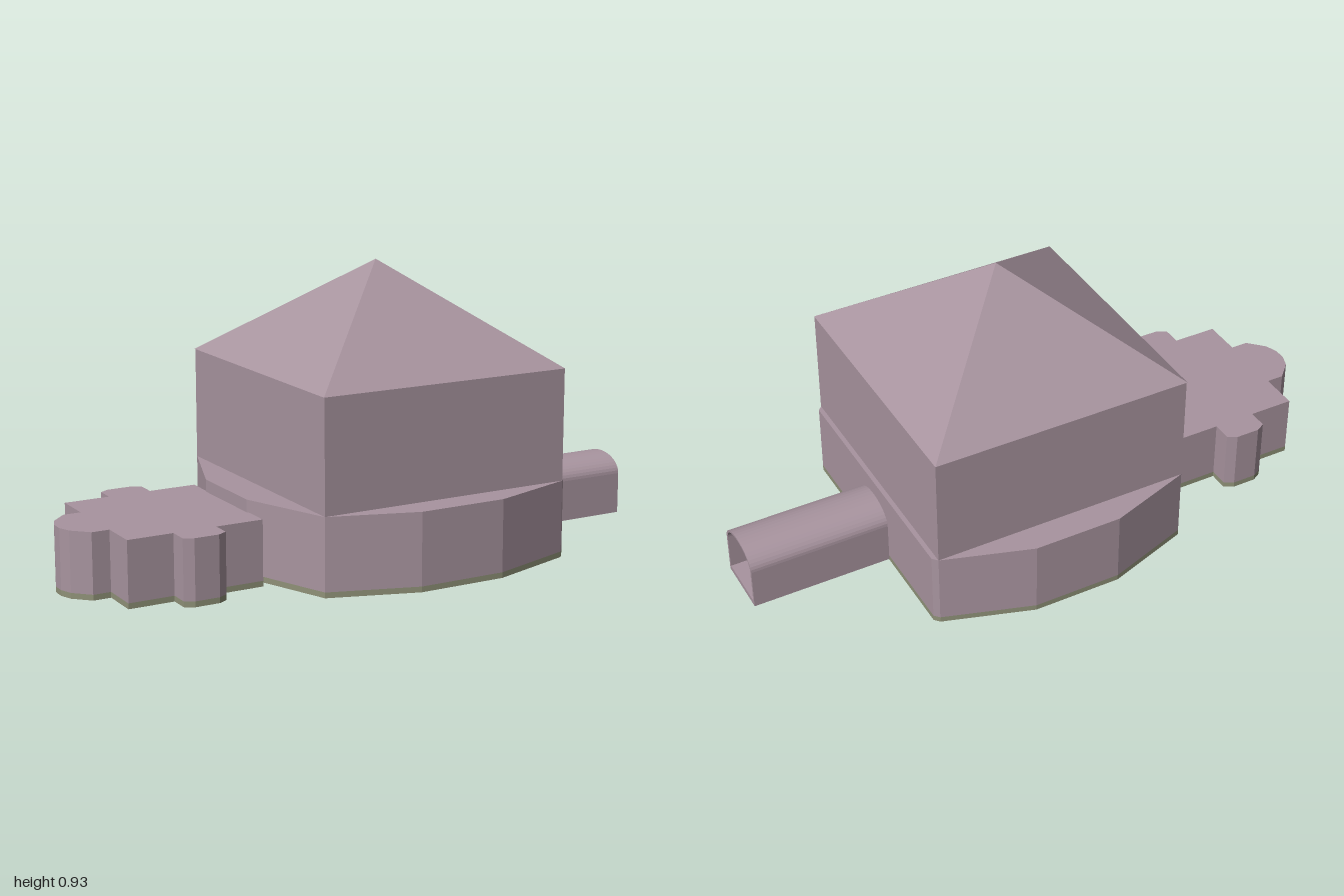
import * as THREE from 'three';

const CZ = 0.005; // slight z offset of the main axis
const mat = (color) => new THREE.MeshStandardMaterial({ color, flatShading: true });
const wall = mat(0xa8949f), ground = mat(0x8f9178), doorMat = mat(0x6a4568), dark = mat(0x3c2a3c);

// Mirrors a half outline of [x, z] points across the main axis
function plan(half) {
  const other = half.map(([x, z]) => [x, -z]).reverse();
  return [...half, ...other].map(([x, z]) => new THREE.Vector2(x, -(z + CZ)));
}

// Vertical prism over a floor plan
function prism(name, pts, y0, y1, material) {
  const geo = new THREE.ExtrudeGeometry(new THREE.Shape(pts), { depth: y1 - y0, bevelEnabled: false });
  geo.rotateX(-Math.PI / 2).translate(0, y0, 0);
  const mesh = new THREE.Mesh(geo, material);
  mesh.name = name;
  return mesh;
}

// Arched outline: straight sides up to the spring line, elliptical crown
function arch(hw, y0, spring, top, n = 20) {
  const pts = [new THREE.Vector2(-hw, y0), new THREE.Vector2(hw, y0)];
  for (let i = 0; i <= n; i++) {
    const a = (i / n) * Math.PI;
    pts.push(new THREE.Vector2(hw * Math.cos(a), spring + (top - spring) * Math.sin(a)));
  }
  return pts;
}

// Extrudes an upright outline along +x
function alongX(name, shape, x0, x1, material) {
  const geo = new THREE.ExtrudeGeometry(shape, { depth: x1 - x0, bevelEnabled: false });
  geo.rotateY(Math.PI / 2).translate(x0, 0, CZ);
  const mesh = new THREE.Mesh(geo, material);
  mesh.name = name;
  return mesh;
}

export function createModel() {
  const model = new THREE.Group();
  model.name = 'hallWithAnnexAndTunnel';

  // Faceted lower storey on its ground slab
  const base = plan([[0.54, 0.415], [0.525, 0.432], [0.24, 0.525], [-0.05, 0.525], [-0.33, 0.432], [-0.44, 0.14]]);
  model.add(prism('baseFloor', base, 0, 0.018, ground));
  model.add(prism('lowerStorey', base, 0.018, 0.25, wall));

  // Square upper storey
  const upper = new THREE.Mesh(new THREE.BoxGeometry(0.855, 0.36, 0.864), wall);
  upper.position.set(0.0975, 0.43, 0);
  upper.position.z = CZ;
  upper.name = 'upperStorey';
  model.add(upper);

  // Pyramid roof
  const roofGeo = new THREE.ConeGeometry(Math.SQRT1_2, 1, 4, 1);
  roofGeo.rotateY(Math.PI / 4).scale(0.858, 0.32, 0.866);
  const roof = new THREE.Mesh(roofGeo, wall);
  roof.position.set(0.0965, 0.77, CZ);
  roof.name = 'roof';
  model.add(roof);

  // Flat-topped annex with side bays and a rounded end
  const annex = plan([
    [-0.435, 0.237], [-0.59, 0.237], [-0.59, 0.3], [-0.62, 0.317], [-0.70, 0.317], [-0.73, 0.3],
    [-0.73, 0.237], [-0.878, 0.237], [-0.878, 0.11], [-0.935, 0.11], [-0.985, 0.06], [-1, 0.02],
  ]);
  model.add(prism('annexFloor', annex, 0, 0.018, ground));
  model.add(prism('annexWalls', annex, 0.018, 0.21, wall));

  // Open arched tunnel
  const tunnel = new THREE.Shape(arch(0.1, 0.003, 0.14, 0.2));
  tunnel.holes.push(new THREE.Path(arch(0.091, 0.02, 0.14, 0.193)));
  model.add(alongX('tunnel', tunnel, 0.535, 1, wall));

  // Double door at the tunnel's inner end, with two handles
  model.add(alongX('door', new THREE.Shape(arch(0.069, 0.02, 0.128, 0.168)), 0.535, 0.546, doorMat));
  for (const s of [-1, 1]) {
    const handle = new THREE.Mesh(new THREE.SphereGeometry(1, 10, 8), dark);
    handle.scale.set(0.006, 0.01, 0.003);
    handle.position.set(0.548, 0.074, CZ + s * 0.015);
    handle.name = s > 0 ? 'doorHandleFront' : 'doorHandleBack';
    model.add(handle);
  }
  return model;
}
